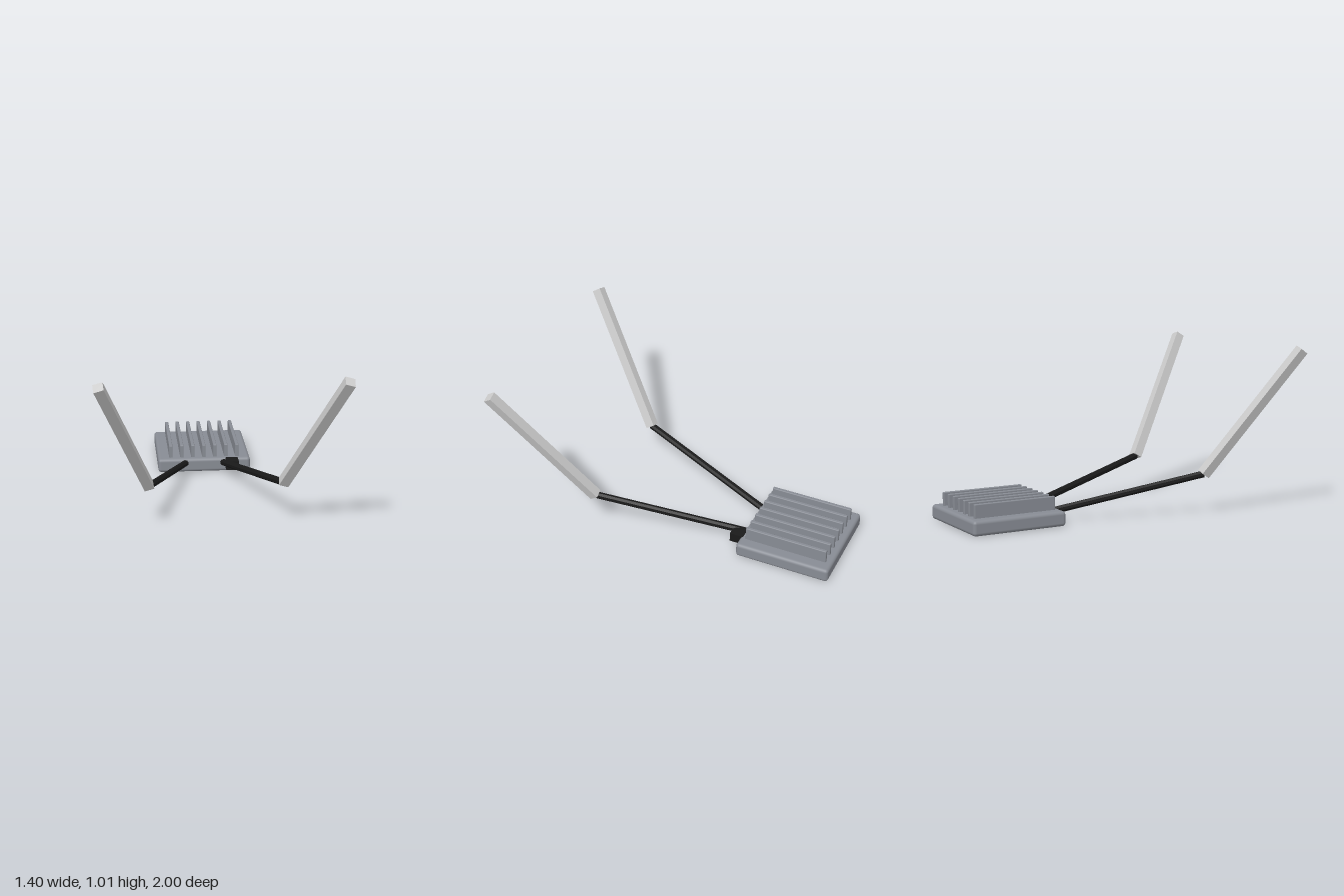
import * as THREE from 'three';
import { RoundedBoxGeometry } from 'three/addons/geometries/RoundedBoxGeometry.js';

const mat = (name, color) => Object.assign(new THREE.MeshStandardMaterial({ color }), { name });
const UP = new THREE.Vector3(0, 1, 0);

export function createModel() {
  const model = new THREE.Group();
  model.name = 'model';
  const metal = mat('slate grey metal', 0x888c94);
  const black = mat('black plastic', 0x1a1a1a);
  const silver = mat('light grey', 0xcccccc);

  const add = (name, geometry, material, x = 0, y = 0, z = 0) => {
    const mesh = new THREE.Mesh(geometry, material);
    mesh.name = name;
    mesh.position.set(x, y, z);
    model.add(mesh);
    return mesh;
  };

  // Stretch a y-aligned part between two points
  const span = (name, makeGeometry, material, a, b) => {
    const d = b.clone().sub(a);
    const mesh = add(name, makeGeometry(d.length()), material);
    mesh.position.copy(a).lerp(b, 0.5);
    mesh.quaternion.setFromUnitVectors(UP, d.normalize());
  };

  // Rounded base plate with cooling fins
  add('basePlate', new RoundedBoxGeometry(0.59, 0.088, 0.585, 3, 0.02), metal, 0, 0.046, -0.7075);
  const finGeometry = new RoundedBoxGeometry(0.022, 0.1, 0.51, 2, 0.005);
  for (let i = -3; i <= 3; i++) add('coolingFin', finGeometry, metal, i * 0.0708, 0.12, -0.705);

  // Connector block beside the left arm
  add('connector', new THREE.BoxGeometry(0.08, 0.058, 0.085), black, 0.175, 0.061, -0.3875);

  // Mirrored thin arms, each carrying a square bar
  for (const [side, s] of [['left', 1], ['right', -1]]) {
    const root = new THREE.Vector3(s * 0.121, 0.061, -0.42);
    const elbow = new THREE.Vector3(s * 0.39, 0.243, 0.468);
    const tip = new THREE.Vector3(s * 0.668, 0.988, 0.973);
    span(side + 'Arm', (l) => {
      const g = new THREE.CylinderGeometry(0.021, 0.021, l, 8).toNonIndexed();
      g.computeVertexNormals();
      return g;
    }, black, root, elbow);
    span(side + 'Bar', (l) => new THREE.BoxGeometry(0.057, l, 0.057), silver, elbow, tip);
  }
  return model;
}
